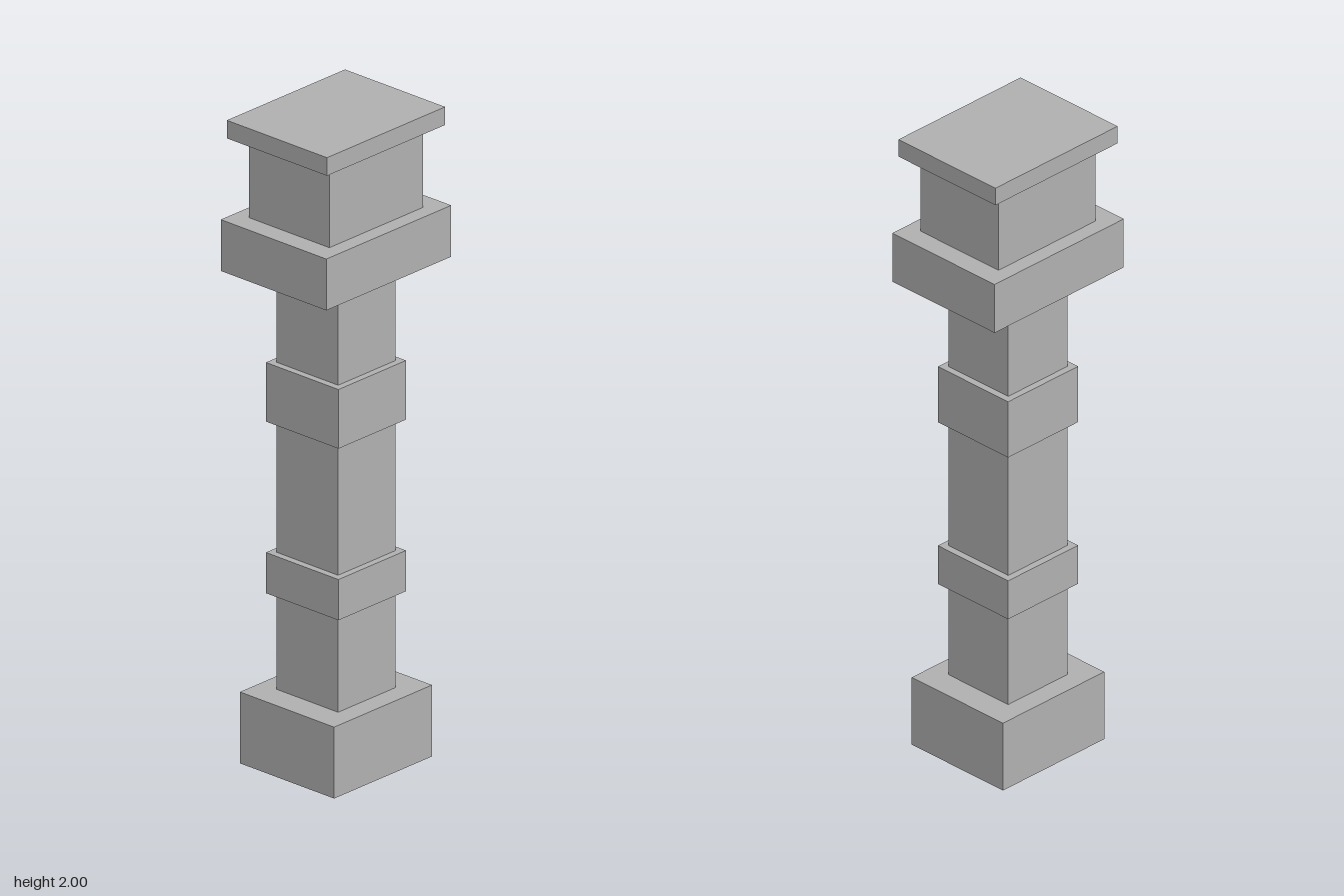
import * as THREE from 'three';

export function createModel() {
  const group = new THREE.Group();
  group.name = 'pillar';
  const stone = new THREE.MeshStandardMaterial({ color: 0xb0b0b0 });
  stone.name = 'grey stone';

  // Stacked blocks: name, width, depth, bottom, top
  const blocks = [
    ['base', 0.407, 0.365, 0, 0.221],
    ['lowerShaft', 0.238, 0.238, 0.221, 0.519],
    ['lowerBand', 0.281, 0.281, 0.519, 0.645],
    ['middleShaft', 0.238, 0.238, 0.645, 1.05],
    ['upperBand', 0.281, 0.281, 1.05, 1.233],
    ['upperShaft', 0.238, 0.238, 1.233, 1.535],
    ['capital', 0.519, 0.409, 1.535, 1.694],
    ['neck', 0.39, 0.312, 1.694, 1.944],
    ['topSlab', 0.491, 0.388, 1.944, 2],
  ];
  for (const [name, width, depth, bottom, top] of blocks) {
    const mesh = new THREE.Mesh(new THREE.BoxGeometry(width, top - bottom, depth), stone);
    mesh.name = name;
    mesh.position.y = (bottom + top) / 2;
    group.add(mesh);
  }
  return group;
}
